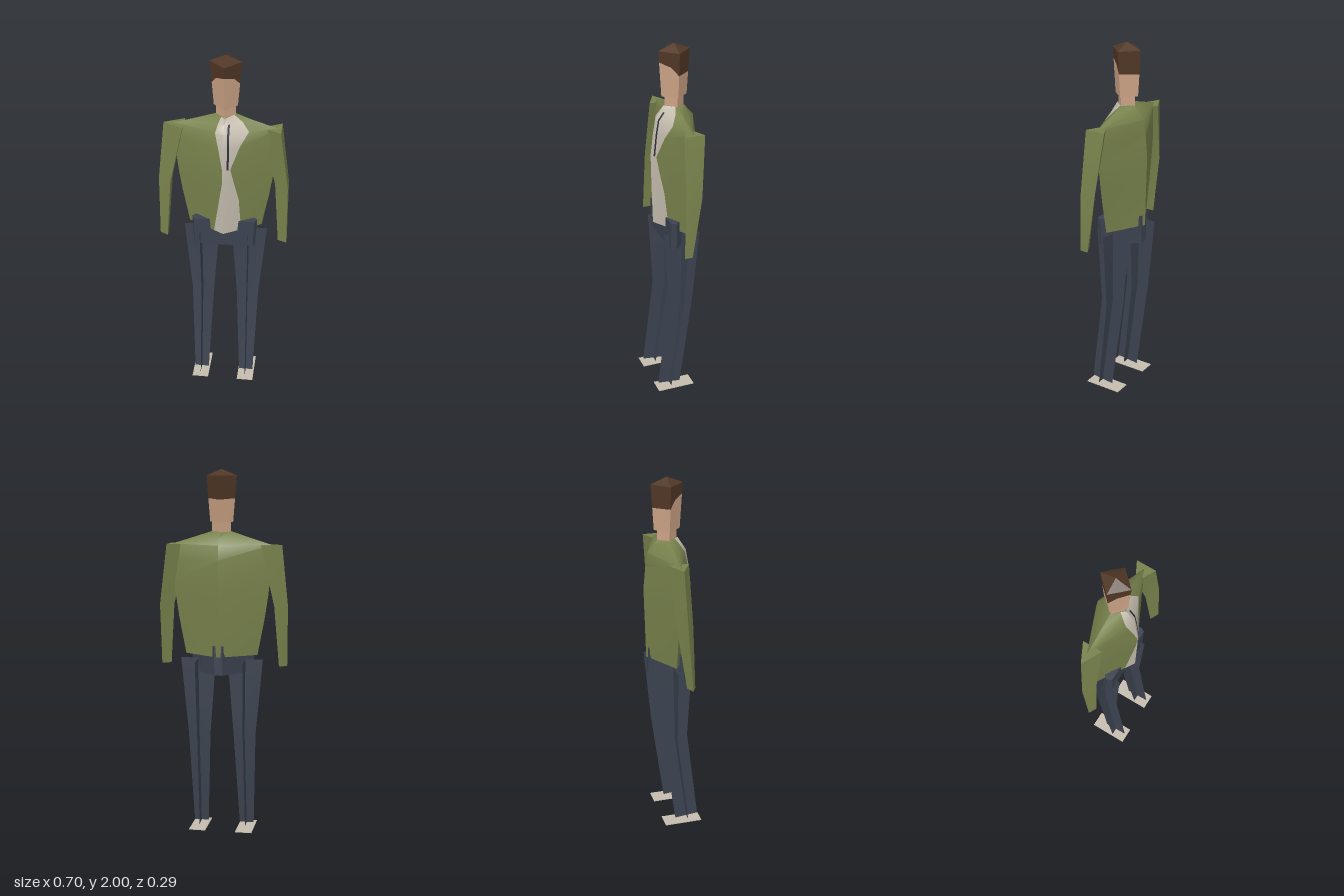
import * as THREE from 'three';
import { toCreasedNormals } from 'three/addons/utils/BufferGeometryUtils.js';

const CX = 0.008, CZ = -0.014; // body axis

const mat = (name, color, side = THREE.FrontSide) => {
  const m = new THREE.MeshStandardMaterial({ color, side });
  m.name = name;
  return m;
};

// Skin between rings of [x, y, z] points (bottom to top, counterclockwise from above).
// pick(level, column) gives the material index of each cell.
function loft(rings, pick = () => 0, crease = 0.8) {
  const pos = [], geo = new THREE.BufferGeometry(), n = rings[0].length;
  const tri = (m, ...pts) => {
    geo.addGroup(pos.length / 3, 3, m);
    pts.forEach((p) => pos.push(...p));
  };
  for (let l = 0; l < rings.length - 1; l++) {
    for (let i = 0; i < n; i++) {
      const j = (i + 1) % n, m = pick(l, i), a = rings[l], b = rings[l + 1];
      tri(m, a[i], a[j], b[j]);
      tri(m, a[i], b[j], b[i]);
    }
  }
  const bottom = rings[0], top = rings[rings.length - 1];
  for (let i = 1; i < n - 1; i++) {
    tri(pick(0, n - 1), bottom[0], bottom[i + 1], bottom[i]);
    tri(pick(rings.length - 2, n - 1), top[0], top[i], top[i + 1]);
  }
  geo.setAttribute('position', new THREE.Float32BufferAttribute(pos, 3));
  return toCreasedNormals(geo, crease);
}

// Flat strip running through [left, right] point pairs
function card(pairs) {
  const geo = new THREE.BufferGeometry(), index = [];
  geo.setAttribute('position', new THREE.Float32BufferAttribute(pairs.flat(2), 3));
  for (let i = 0; i < pairs.length - 1; i++) {
    const k = i * 2;
    index.push(k, k + 3, k + 1, k, k + 2, k + 3);
  }
  geo.setIndex(index);
  geo.computeVertexNormals();
  return geo;
}

export function createModel() {
  const model = new THREE.Group();
  const jacket = mat('jacket green', 0x78824c, THREE.DoubleSide);
  const shirt = mat('shirt beige', 0xc4bcae, THREE.DoubleSide);
  const trousers = mat('trouser navy', 0x3c4350, THREE.DoubleSide);
  const placket = mat('placket dark', 0x2b303a);
  const skin = mat('skin', 0xcda486);
  const hair = mat('hair brown', 0x513726);

  const add = (name, geo, material, parent = model) => {
    const mesh = new THREE.Mesh(geo, material);
    mesh.name = name;
    parent.add(mesh);
    return mesh;
  };

  // Torso: diamond section; [y, half width, front z, back z, shirt from x, shirt to x]
  const levels = [
    [1.0, 0.198, 0.108, -0.132, -0.045, 0.1],
    [1.2, 0.236, 0.114, -0.137, -0.015, 0.088],
    [1.32, 0.254, 0.117, -0.141, 0.003, 0.062],
    [1.4, 0.263, 0.118, -0.143, 0.005, 0.045],
    [1.52, 0.27, 0.104, -0.132, -0.02, 0.09],
    [1.6, 0.272, 0.09, -0.12, -0.038, 0.135],
    [1.64, 0.145, 0.064, -0.086, -0.025, 0.1],
    [1.67, 0.052, 0.045, -0.062, -0.01, 0.053],
  ];
  const torso = levels.map(([y, w, f, b, x0, x1]) => {
    const front = (x) => [x, y, CZ + (f - CZ) * (1 - Math.abs(x - CX) / w)];
    return [
      ...[x0, CX, 0.027, 0.037, x1].map(front),
      [CX + w, y, CZ], [CX, y, b], [CX - w, y, CZ],
    ];
  });
  add('jacketAndShirt', loft(torso, (l, c) => {
    if (c > 3) return 0;
    return c === 2 && l >= 3 && l < 6 ? 2 : 1;
  }), [jacket, shirt, placket]);

  // Neck and head: diamond prisms, the hairline drops from the brow to the nape
  const diamond = (y, rx, rz) =>
    [[CX, y, CZ + rz], [CX + rx, y, CZ], [CX, y, CZ - rz], [CX - rx, y, CZ]];
  add('neck', loft([diamond(1.66, 0.052, 0.052), diamond(1.73, 0.052, 0.052)]), skin);

  const headRing = (ys) => ys.map((y, i) => {
    const t = (y - 1.72) / 0.245, rx = 0.0625 + 0.02 * t, rz = 0.07 + 0.016 * t;
    const [u, v] = [[0, 1], [0.6, 0.4], [1, 0], [0, -1], [-1, 0], [-0.6, 0.4]][i];
    return [CX + rx * u, y, CZ + rz * v];
  });
  const chin = headRing(Array(6).fill(1.72));
  const hairline = headRing([1.905, 1.885, 1.845, 1.84, 1.845, 1.885]);
  const crown = headRing(Array(6).fill(1.965));
  const apex = crown.map(() => [CX, 2, CZ]);
  add('head', loft([chin, hairline, crown, apex], (l) => (l ? 1 : 0), 0.5), [skin, hair]);

  // Arms: three-sided sleeves; [y, point x, flat x, front z, back z], bottom to top
  const arm = (name, rows) => add(name, loft(rows.map(([y, p, f, z0, z1]) =>
    [[f, y, z0], [f, y, z1], [p, y, (z0 + z1) / 2]])), jacket);
  arm('rightArm', [
    [0.935, -0.348, -0.305, 0.055, 0.01],
    [1.27, -0.352, -0.283, 0.048, -0.04],
    [1.6, -0.32, -0.213, 0.042, -0.068],
  ]);
  arm('leftArm', [
    [0.935, 0.3, 0.348, 0.055, 0.01],
    [1.27, 0.275, 0.346, 0.048, -0.04],
    [1.6, 0.193, 0.3, 0.042, -0.07],
  ]);

  // Hips: wide flat front narrowing to the back, its front corners standing over the jacket
  const hips = (y, s) => [
    [-0.158, 0.063], [0.173, 0.063], [0.186, 0.035], [0.03, -0.125], [-0.014, -0.125], [-0.17, 0.035],
  ].map(([x, z]) => [CX + (x - CX) * s, y, z]);
  add('hips', loft([hips(0.9, 0.95), hips(1.0, 0.98), hips(1.06, 1)], undefined, 0.3), trousers);

  // Legs: two crossed cards, and a flat sole
  for (const [name, sx] of [['leftLeg', 1], ['rightLeg', -1]]) {
    const leg = new THREE.Group();
    leg.name = name;
    model.add(leg);
    const x = (v) => CX + sx * v;
    add('legFrontCard', card([
      [[x(0.09), 0.018, 0.065], [x(0.17), 0.018, 0.065]],
      [[x(0.065), 0.55, -0.005], [x(0.188), 0.55, -0.005]],
      [[x(0.033), 0.975, -0.013], [x(0.228), 0.975, -0.013]],
    ]), trousers, leg);
    add('legSideCard', card([
      [[x(0.13), 0.025, 0.13], [x(0.13), 0.012, 0]],
      [[x(0.127), 0.55, 0.067], [x(0.127), 0.55, -0.075]],
      [[x(0.131), 0.98, 0.09], [x(0.131), 0.965, -0.113]],
    ]), trousers, leg);
    const sole = add('sole', new THREE.BoxGeometry(0.092, 0.004, 0.212), shirt, leg);
    sole.position.set(x(0.131), 0.002, 0.036);
  }
  return model;
}
